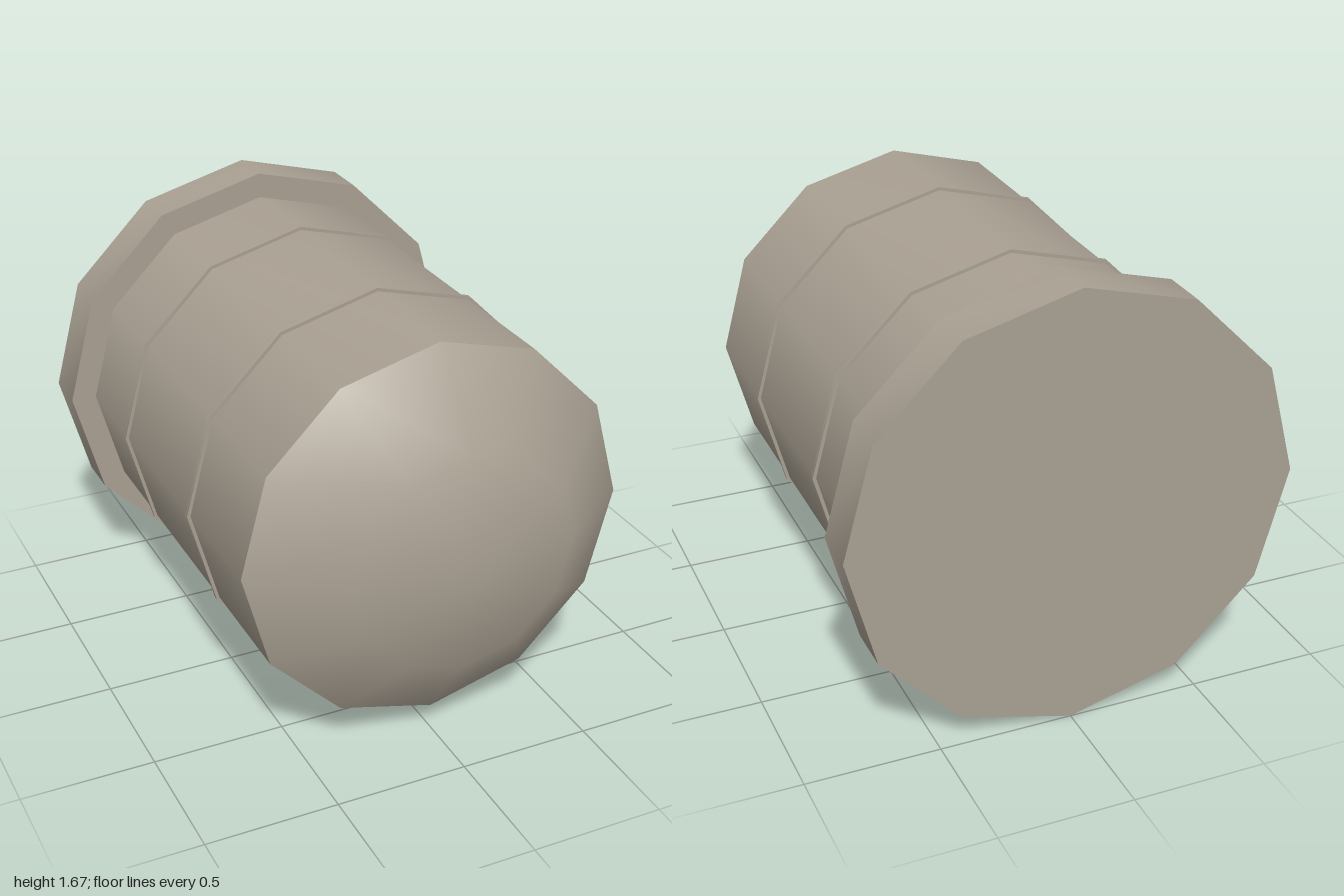
import * as THREE from 'three';
import { toCreasedNormals } from 'three/addons/utils/BufferGeometryUtils.js';

const SIDES = 12;
const AXIS_Y = 0.834;

// Twelve-sided solid of revolution around z; profile points are [radius, z], back to front
function turned(name, profile, material) {
  const points = profile.map(([r, z]) => new THREE.Vector2(r, z));
  const geometry = new THREE.LatheGeometry(points, SIDES);
  geometry.rotateX(Math.PI / 2);
  const mesh = new THREE.Mesh(toCreasedNormals(geometry, THREE.MathUtils.degToRad(35)), material);
  mesh.name = name;
  mesh.position.y = AXIS_Y;
  return mesh;
}

export function createModel() {
  const model = new THREE.Group();
  model.name = 'flangedPlug';

  const metal = new THREE.MeshStandardMaterial({ color: 0xaaa193 });
  metal.name = 'warm grey metal';

  // Wide mounting plate at the back
  model.add(turned('backFlange', [
    [0, -1], [0.834, -1], [0.834, -0.815], [0, -0.815],
  ], metal));

  // Barrel with a bevelled, slightly domed nose
  model.add(turned('barrel', [
    [0, -0.82], [0.735, -0.82], [0.735, 0.735], [0.42, 0.965], [0.08, 1], [0, 1],
  ], metal));

  // Two thin raised bands around the barrel
  for (const [name, z] of [['frontBand', 0.252], ['rearBand', -0.417]]) {
    model.add(turned(name, [
      [0.725, z - 0.008], [0.748, z - 0.008], [0.748, z + 0.008], [0.725, z + 0.008],
    ], metal));
  }

  return model;
}
